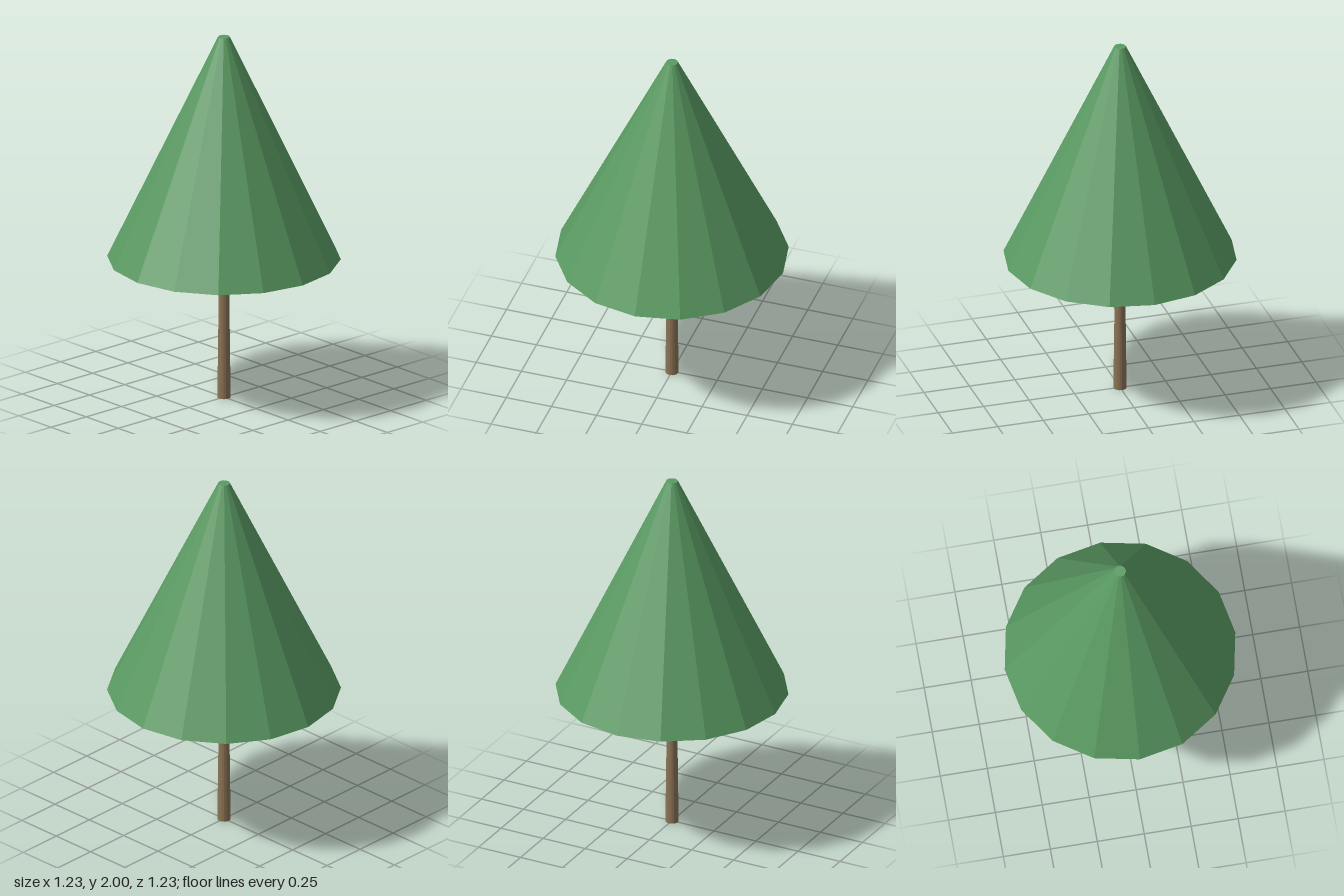
import * as THREE from 'three';

export function createModel() {
  const tree = new THREE.Group();
  tree.name = 'coniferTree';

  const foliageGreen = new THREE.MeshStandardMaterial({ color: 0x5a9a62, flatShading: true });
  foliageGreen.name = 'foliageGreen';
  const barkBrown = new THREE.MeshStandardMaterial({ color: 0x8b7355, flatShading: true });
  barkBrown.name = 'barkBrown';

  // Tapered, faceted solid standing between two heights
  function taper(name, rTop, rBottom, y0, y1, sides, material) {
    const geometry = new THREE.CylinderGeometry(rTop, rBottom, y1 - y0, sides);
    const mesh = new THREE.Mesh(geometry, material);
    mesh.name = name;
    mesh.position.y = (y0 + y1) / 2;
    tree.add(mesh);
  }

  // Slender trunk, ending just inside the foliage
  taper('trunk', 0.025, 0.035, 0, 0.79, 16, barkBrown);
  // Single cone of foliage with a small flat tip
  taper('foliage', 0.031, 0.614, 0.775, 2, 16, foliageGreen);

  return tree;
}
